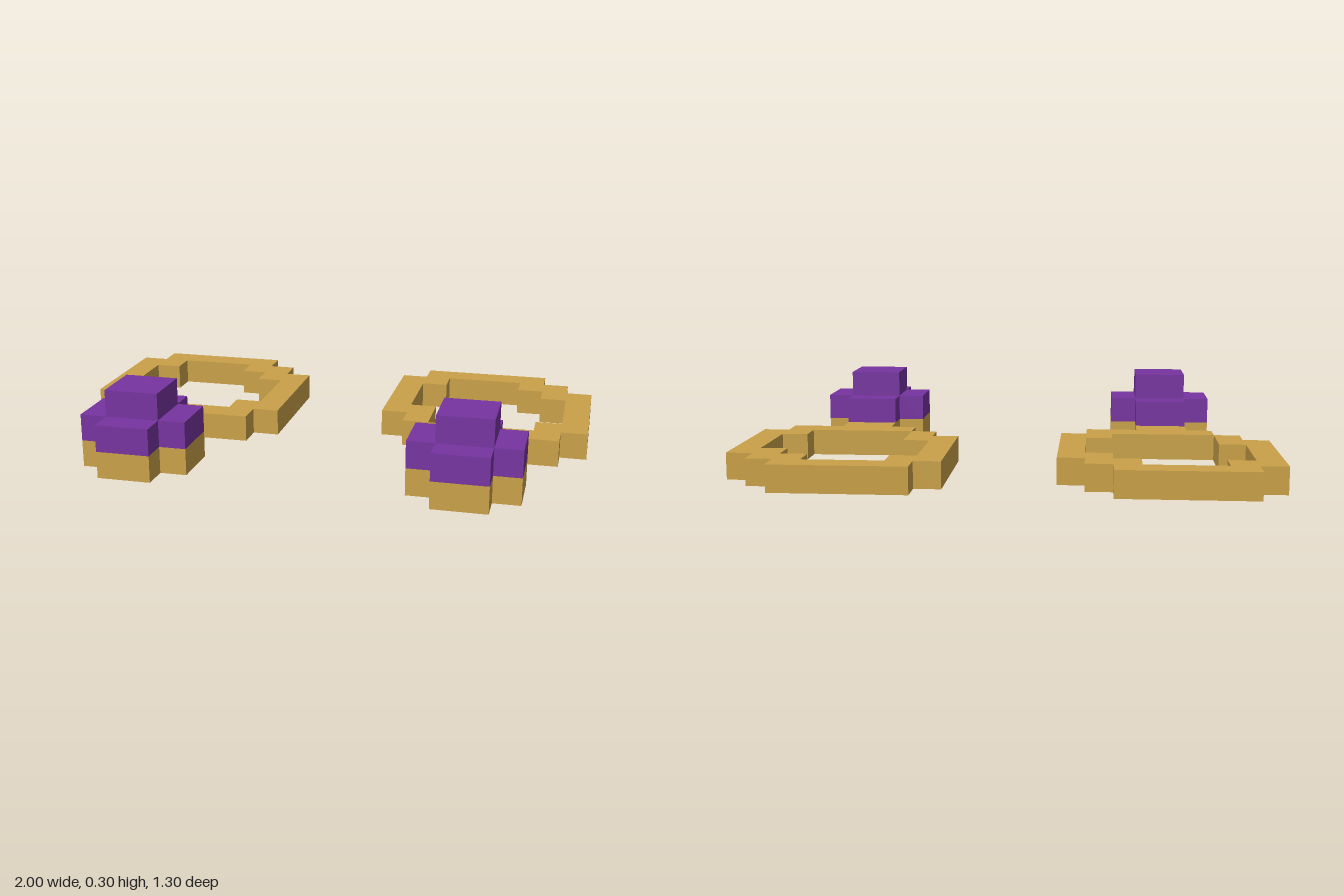
import * as THREE from 'three';

const U = 0.1; // one block

const gold = new THREE.MeshStandardMaterial({ color: 0xc9a148 });
gold.name = 'gold';
const purple = new THREE.MeshStandardMaterial({ color: 0x7634a0 });
purple.name = 'purple';

// One block thick slab from a plan outline given in blocks (x, z), resting at height y
function slab(name, outline, y, material) {
  const shape = new THREE.Shape(
    outline.map(([x, z]) => new THREE.Vector2((x - 4) * U, (z - 6.5) * U))
  );
  const geometry = new THREE.ExtrudeGeometry(shape, { depth: U, bevelEnabled: false });
  geometry.rotateX(Math.PI / 2);
  geometry.translate(0, y + U, 0);
  const mesh = new THREE.Mesh(geometry, material);
  mesh.name = name;
  return mesh;
}

// Front setting and gem share the same stepped cross
const cross = [
  [5, 10], [6, 10], [6, 12], [5, 12], [5, 13], [3, 13],
  [3, 12], [2, 12], [2, 10], [3, 10],
];

// Outer edge, then the inner edge entered and left at the pinched corner (2, 7)
const bandOutline = [
  [1, 0], [6, 0], [6, 1], [7, 1], [7, 2], [8, 2], [8, 7], [7, 7], [7, 8], [5, 8],
  ...cross,
  [3, 8], [2, 8], [2, 7],
  [6, 7], [6, 6], [7, 6], [7, 3], [6, 3], [6, 2], [5, 2], [5, 1],
  [2, 1], [2, 2], [1, 2], [1, 5], [2, 5], [2, 7],
  [1, 7], [1, 6], [0, 6], [0, 1], [1, 1],
];

const gemOutline = [[3, 9], [5, 9], ...cross];
const gemTipOutline = [[3, 10], [5, 10], [5, 12], [3, 12]];

function createEarring(name, x) {
  const earring = new THREE.Group();
  earring.name = name;
  earring.add(
    slab('band', bandOutline, 0, gold),
    slab('gemBase', gemOutline, U, purple),
    slab('gemTip', gemTipOutline, 2 * U, purple)
  );
  earring.position.x = x;
  return earring;
}

export function createModel() {
  const model = new THREE.Group();
  model.name = 'jewelledRings';
  model.add(createEarring('rightRing', -0.6), createEarring('leftRing', 0.6));
  return model;
}
